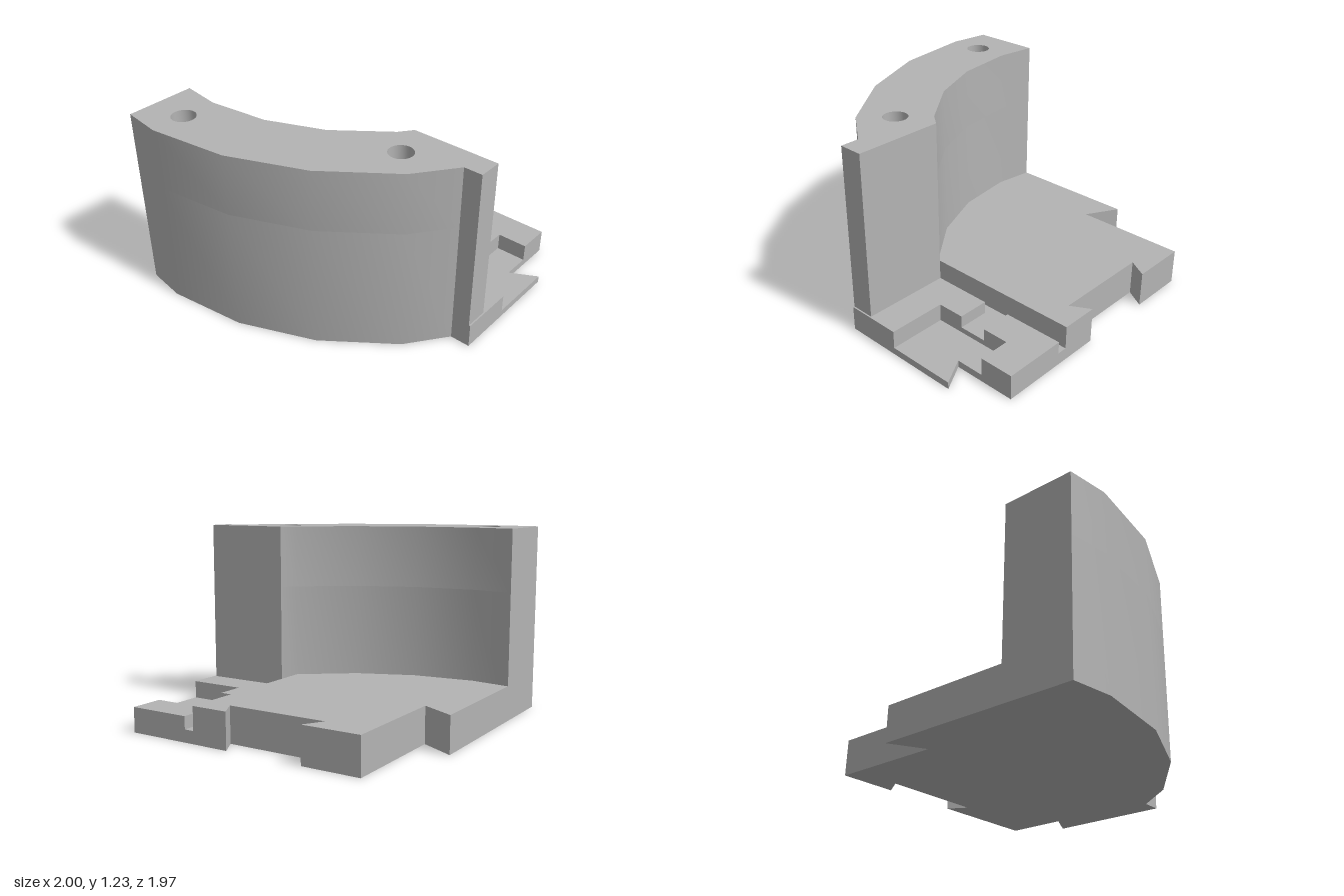
import * as THREE from 'three';
import { toCreasedNormals } from 'three/addons/utils/BufferGeometryUtils.js';

export function createModel() {
  const model = new THREE.Group();
  model.name = 'curvedWallTile';
  const grey = new THREE.MeshStandardMaterial({ color: 0xb3b3b3 });
  grey.name = 'plain grey';

  // Extrudes a plan outline of [x, z] points from height y0 to y1
  function slab(name, plan, y0, y1, holes = []) {
    const shape = new THREE.Shape(plan.map(([x, z]) => new THREE.Vector2(x, -z)));
    for (const [x, z, r] of holes) {
      const hole = new THREE.Path();
      hole.absarc(x, -z, r, 0, Math.PI * 2, true);
      shape.holes.push(hole);
    }
    const geometry = new THREE.ExtrudeGeometry(shape, { depth: y1 - y0, bevelEnabled: false, curveSegments: 16 });
    geometry.rotateX(-Math.PI / 2).translate(0, y0, 0);
    const mesh = new THREE.Mesh(toCreasedNormals(geometry, 0.4), grey);
    mesh.name = name;
    model.add(mesh);
  }

  // Curved wall, with two blind peg holes in its top
  const inner = [[0.415, -0.015], [0.35, 0.07], [0.025, 0.32], [-0.34, 0.47], [-0.74, 0.52], [-1, 0.485]];
  const outer = [[-1, 0.945], [-0.74, 0.98], [-0.22, 0.91], [0.26, 0.71], [0.68, 0.395], [0.87, 0.14]];
  const wall = [...inner, ...outer, [0.99, 0.14], [0.99, -0.015]];
  slab('wallLower', wall, 0, 0.83);
  slab('wallUpper', wall, 0.83, 1.23, [[0.51, 0.235, 0.078], [-0.74, 0.75, 0.078]]);
  slab('wallFoot', [[0.99, -0.015], [1, -0.015], [1, 0.14], [0.99, 0.14]], 0, 0.16);

  // Main floor, with dovetail notches at the back and left
  slab('floor', [
    ...inner.slice(1), [-1, -0.375], [-0.785, -0.255], [-0.785, -0.985],
    [-0.41, -0.985], [-0.485, -0.86], [0.175, -0.86], [0.105, -0.985], [0.35, -0.985],
  ], 0, 0.23);

  // Stepped side ledge: pocket floor, channel floor, then two raised blocks
  slab('pocketFloor', [
    [0.35, -0.985], [0.825, -0.985], [0.825, -0.58], [1, -0.675],
    [1, -0.015], [0.415, -0.015], [0.35, 0.07],
  ], 0, 0.045);
  slab('channelFloor', [
    [0.35, -0.985], [0.825, -0.985], [0.825, -0.765], [0.62, -0.765], [0.62, -0.225],
    [1, -0.225], [1, -0.015], [0.415, -0.015], [0.35, 0.07],
  ], 0.045, 0.08);
  slab('backBlock', [
    [0.415, -0.985], [0.825, -0.985], [0.825, -0.765], [0.62, -0.765], [0.62, -0.59], [0.415, -0.59],
  ], 0.08, 0.16);
  slab('frontBlock', [
    [0.415, -0.405], [0.62, -0.405], [0.62, -0.225], [1, -0.225], [1, -0.015], [0.415, -0.015],
  ], 0.08, 0.16);

  return model;
}
